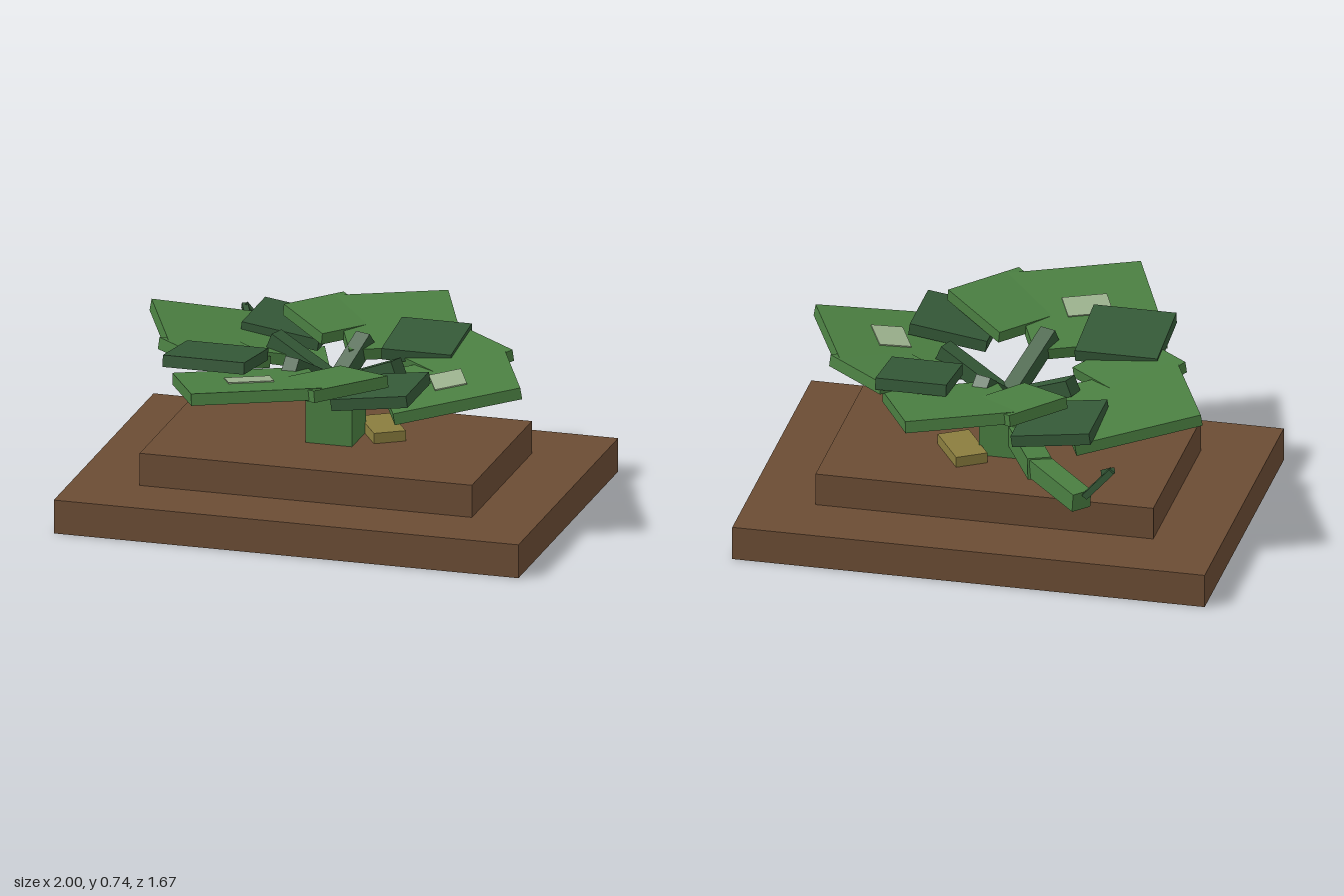
import * as THREE from 'three';

const mat = (name, color) => {
  const m = new THREE.MeshStandardMaterial({ color });
  m.name = name;
  return m;
};
const vec = (x, y, z) => new THREE.Vector3(x, y, z);

export function createModel() {
  const root = new THREE.Group();
  const brown = mat('soil brown', 0x6b4c34);
  const green = mat('leaf green', 0x4a7e41);
  const dark = mat('dark green', 0x345837);
  const pale = mat('pale green', 0x9ab08c);
  const ochre = mat('ochre', 0x8a7d3e);

  const box = (name, material, size, pos, parent = root) => {
    const m = new THREE.Mesh(new THREE.BoxGeometry(...size), material);
    m.name = name;
    m.position.set(...pos);
    parent.add(m);
    return m;
  };

  // Square plate: a-b is its raised outer top edge, the rest slopes down inwards
  const plate = (name, material, a, b, y, slope, t) => {
    const A = vec(a[0], y, a[1]), B = vec(b[0], y, b[1]);
    const u = B.clone().sub(A), side = u.length();
    u.normalize();
    const v = vec(u.z, -slope, -u.x).normalize();
    const n = u.clone().cross(v);
    const c = A.add(B).multiplyScalar(0.5).addScaledVector(v, side / 2).addScaledVector(n, -t / 2);
    const m = box(name, material, [side, t, side], c.toArray());
    m.quaternion.setFromRotationMatrix(new THREE.Matrix4().makeBasis(u, n, v.clone().negate()));
    return m;
  };

  // Straight square beam between two points
  const beam = (name, material, p, q, w, h = w) => {
    const P = vec(...p), Q = vec(...q);
    const m = box(name, material, [w, h, P.distanceTo(Q)], P.clone().add(Q).multiplyScalar(0.5).toArray());
    m.lookAt(Q);
    return m;
  };

  // Stepped base and the small slab beside the trunk
  box('lowerBase', brown, [2, 0.145, 1.43], [0, 0.0725, -0.103]);
  box('upperBase', brown, [1.43, 0.14, 0.86], [0, 0.215, -0.1]);
  box('sideSlab', ochre, [0.136, 0.045, 0.236], [0.17, 0.3075, -0.2]).rotation.y = 0.56;

  // Trunk
  box('trunk', green, [0.2, 0.23, 0.2], [0, 0.4, -0.1]);

  // Crown: one large and one small leaf per side, [outer corner, outer corner]
  const leaves = [
    { y: 0.74, big: [[-0.345, 0.825], [0.165, 0.59]], small: [[0.13, 0.65], [0.365, 0.375]], spot: true },
    { y: 0.69, big: [[0.89, 0.22], [0.67, -0.27]], small: [[0.72, -0.235], [0.455, -0.45]], spot: true },
    { y: 0.715, big: [[0.265, -0.83], [-0.17, -0.63]], small: [[-0.14, -0.68], [-0.33, -0.455]] },
    { y: 0.69, big: [[-0.895, -0.44], [-0.675, 0.05]], small: [[-0.72, 0.03], [-0.46, 0.24]] },
  ];
  for (const l of leaves) {
    const big = plate('largeLeaf', green, ...l.big, l.y, 0.17, 0.05);
    plate('smallLeaf', green, ...l.small, l.y + 0.002, 0.16, 0.05);
    if (l.spot) box('leafSpot', pale, [0.19, 0.008, 0.135], [0, 0.026, 0], big);
  }

  // Dark leaves between the sides
  const darkLeaves = [
    [[-0.6, 0.38], [-0.25, 0.38], 0.74],
    [[0.47, 0.46], [0.47, 0.13], 0.69],
    [[0.48, -0.45], [0.18, -0.45], 0.713],
    [[-0.475, -0.67], [-0.475, -0.335], 0.665],
  ];
  for (const [a, b, y] of darkLeaves) plate('darkLeaf', dark, a, b, y, 0.14, 0.05);

  // Branches rising from the trunk through the leaves
  const tips = [[-0.11, 0.68, 0.19], [0.3, 0.65, 0], [0.07, 0.66, -0.3], [-0.3, 0.65, -0.21]];
  for (const tip of tips) beam('branch', dark, [0, 0.51, -0.11], tip, 0.07);

  // Low bent branch at the back with a hooked twig
  beam('lowBranchInner', green, [-0.05, 0.375, -0.13], [-0.25, 0.45, -0.6], 0.1, 0.09);
  beam('lowBranchOuter', green, [-0.24, 0.45, -0.58], [-0.475, 0.42, -0.8], 0.09, 0.08);
  beam('twig', dark, [-0.49, 0.445, -0.805], [-0.605, 0.575, -0.805], 0.027);
  beam('twigHook', dark, [-0.605, 0.575, -0.805], [-0.545, 0.51, -0.7], 0.024);

  return root;
}
